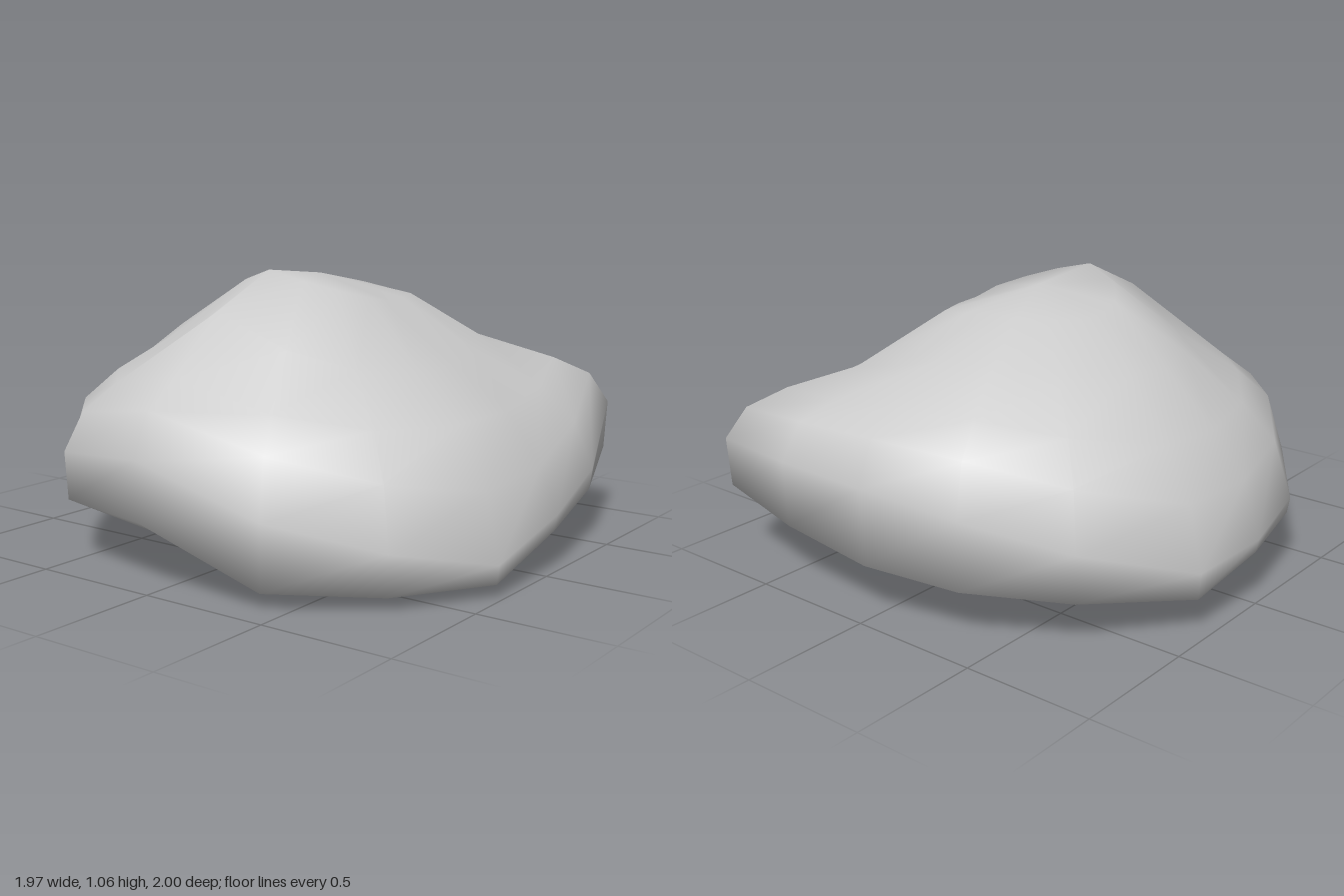
import * as THREE from 'three';
import { toCreasedNormals } from 'three/addons/utils/BufferGeometryUtils.js';

// One row per meridian, running from the left side round by the front:
// outline x, z | foot y, rim y, widest y | heights at 0.93, 0.8, 0.58 of the outline
const MERIDIANS = [
  [0.98, 0.0, 0.04, 0.21, 0.50, 0.66, 0.74, 0.86],
  [0.97, 0.4, 0.07, 0.25, 0.50, 0.64, 0.70, 0.79],
  [0.9, 0.8, 0.10, 0.29, 0.48, 0.60, 0.67, 0.74],
  [0.5, 0.93, 0.13, 0.21, 0.29, 0.47, 0.61, 0.73],
  [0.07, 1.0, 0.11, 0.15, 0.21, 0.38, 0.57, 0.72],
  [-0.33, 0.99, 0.0, 0.05, 0.12, 0.36, 0.57, 0.72],
  [-0.67, 0.77, 0.0, 0.05, 0.20, 0.42, 0.57, 0.74],
  [-0.91, 0.42, 0.01, 0.06, 0.30, 0.51, 0.62, 0.81],
  [-0.985, -0.06, 0.03, 0.24, 0.46, 0.62, 0.72, 0.93],
  [-0.9, -0.49, 0.04, 0.24, 0.42, 0.56, 0.66, 0.79],
  [-0.67, -0.71, 0.04, 0.23, 0.34, 0.56, 0.67, 0.80],
  [-0.35, -0.93, 0.03, 0.22, 0.28, 0.50, 0.64, 0.81],
  [0, -1, 0.03, 0.20, 0.25, 0.46, 0.62, 0.81],
  [0.33, -0.97, 0.035, 0.13, 0.23, 0.46, 0.63, 0.82],
  [0.69, -0.71, 0.08, 0.17, 0.35, 0.56, 0.69, 0.83],
  [0.9, -0.37, 0.06, 0.19, 0.45, 0.64, 0.74, 0.86],
];

// Points of one meridian from the underside up to the crown, as [scale, height]
function profile([x, , foot, rim, widest, shoulder, upper, mid]) {
  const crown = 0.75 + 0.26 * mid + 0.07 * Math.max(0, -x);
  return [
    [0.6, foot],
    [0.99, rim],
    [1, widest],
    [0.93, shoulder],
    [0.8, upper],
    [0.58, mid],
    [0.3, crown],
  ];
}

function boulderGeometry() {
  const n = MERIDIANS.length;
  const profiles = MERIDIANS.map(profile);
  const rings = profiles[0].length;
  const positions = [];
  const index = [];

  for (let r = 0; r < rings; r++) {
    MERIDIANS.forEach(([x, z], i) => {
      const [scale, y] = profiles[i][r];
      positions.push(x * scale, y, z * scale);
    });
  }
  // Centres of the underside and the crown
  const bottom = n * rings;
  const top = bottom + 1;
  positions.push(0, 0.06, 0, 0, 1.03, 0);

  for (let i = 0; i < n; i++) {
    const j = (i + 1) % n;
    index.push(bottom, i, j);
    for (let r = 0; r < rings - 1; r++) {
      const a = r * n + i, b = r * n + j;
      index.push(a, a + n, b, b, a + n, b + n);
    }
    const last = (rings - 1) * n;
    index.push(last + i, top, last + j);
  }

  const geometry = new THREE.BufferGeometry();
  geometry.setAttribute('position', new THREE.Float32BufferAttribute(positions, 3));
  geometry.setIndex(index);
  return toCreasedNormals(geometry, 1.5);
}

export function createModel() {
  const group = new THREE.Group();
  group.name = 'rock';
  // Rounded boulder with an uneven underside
  const boulder = new THREE.Mesh(
    boulderGeometry(),
    new THREE.MeshStandardMaterial({ color: 0xcccccc })
  );
  boulder.name = 'boulder';
  group.add(boulder);
  return group;
}
